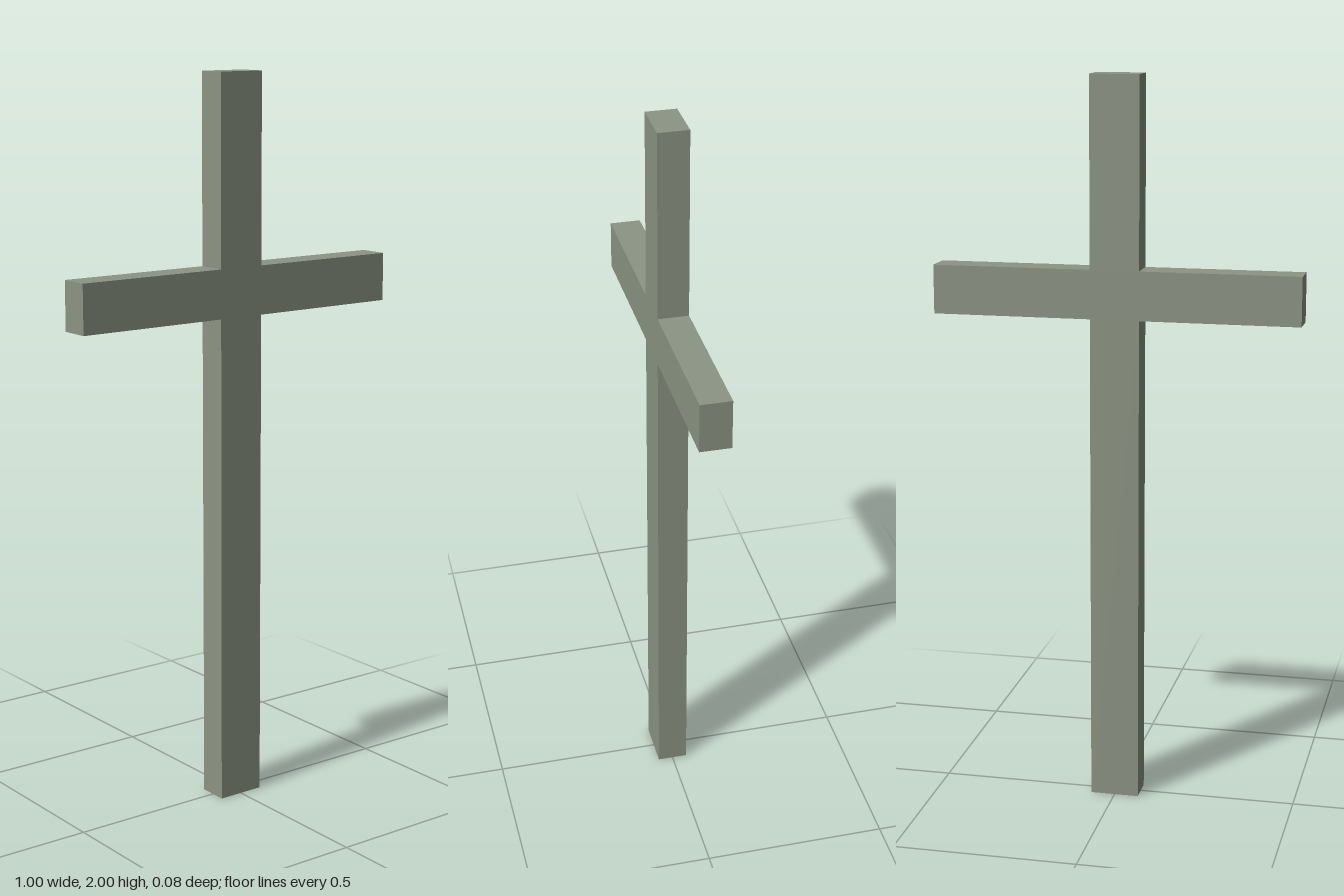
import * as THREE from 'three';

export function createModel() {
  const group = new THREE.Group();
  group.name = 'cross';
  const stone = new THREE.MeshStandardMaterial({ color: 0x8c9584 });
  stone.name = 'greyGreen';

  // Half widths, thickness and crossbar heights
  const w = 0.067, arm = 0.5, depth = 0.083;
  const low = 1.355, high = 1.488, top = 2;

  // Right half of the outline, then mirrored to the left
  const half = [[w, 0], [w, low], [arm, low], [arm, high], [w, high], [w, top]];
  const outline = [...half, ...half.map(([x, y]) => [-x, y]).reverse()];
  const shape = new THREE.Shape(outline.map(([x, y]) => new THREE.Vector2(x, y)));

  // Upright and crossbar as one flush solid
  const geometry = new THREE.ExtrudeGeometry(shape, { depth, bevelEnabled: false });
  geometry.translate(0, 0, -depth / 2);
  const body = new THREE.Mesh(geometry, stone);
  body.name = 'uprightAndCrossbar';
  group.add(body);
  return group;
}
